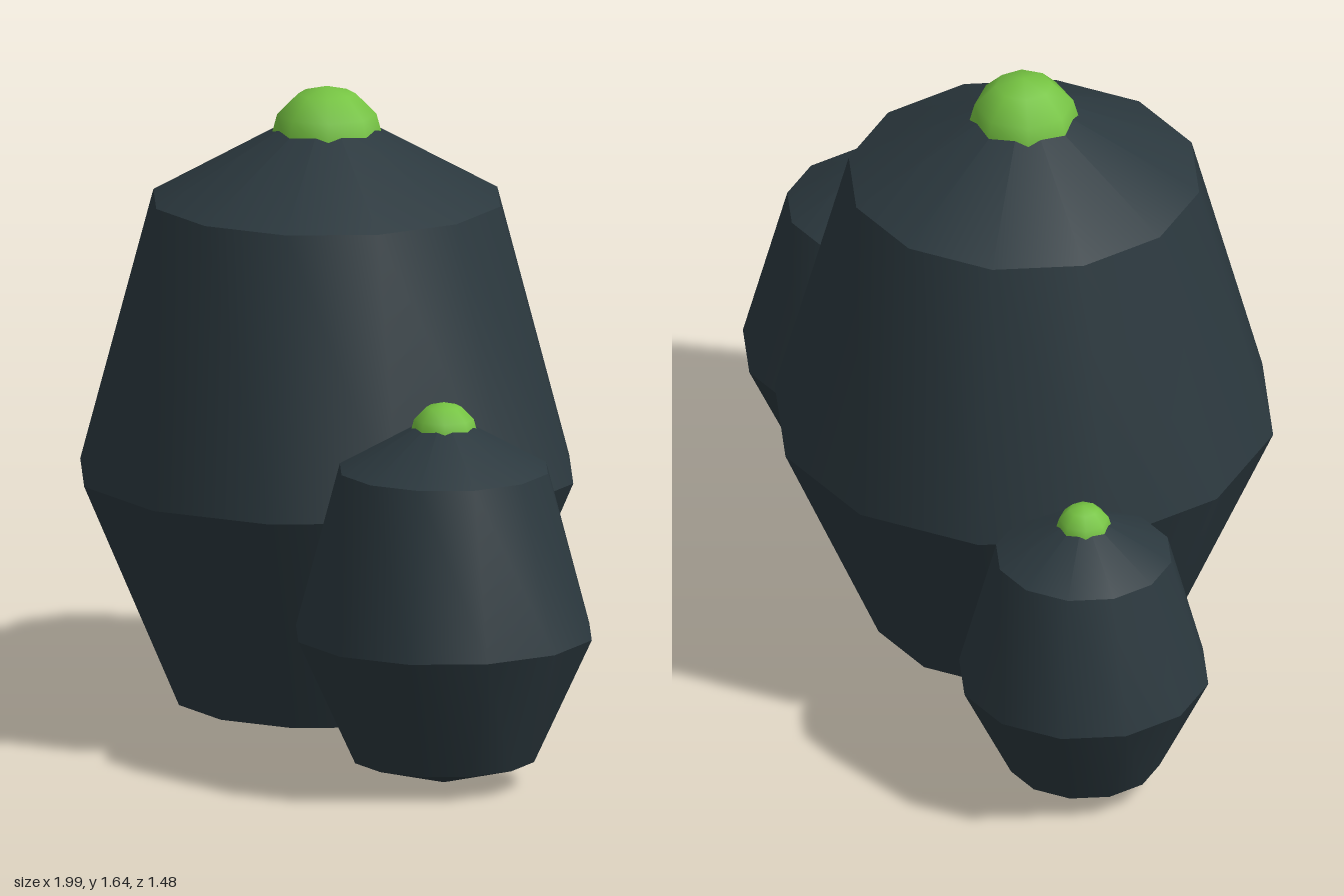
import * as THREE from 'three';
import { toCreasedNormals } from 'three/addons/utils/BufferGeometryUtils.js';

const shell = new THREE.MeshStandardMaterial({ color: 0x2b383e });
shell.name = 'dark slate';
const glow = new THREE.MeshStandardMaterial({ color: 0x76c442 });
glow.name = 'leaf green';

// One pod: a twelve-sided shell with creased rings and a low-poly bulb on top
function makePod({ name, x, z, profile, bulbY, bulbRadius }) {
  const pod = new THREE.Group();
  pod.name = name;
  pod.position.set(x, 0, z);

  const points = profile.map(([r, y]) => new THREE.Vector2(r, y));
  const body = new THREE.Mesh(toCreasedNormals(new THREE.LatheGeometry(points, 12), 0.6), shell);
  body.name = 'podShell';

  const bulb = new THREE.Mesh(new THREE.SphereGeometry(bulbRadius, 8, 6), glow);
  bulb.name = 'podBulb';
  bulb.position.y = bulbY;

  pod.add(body, bulb);
  return pod;
}

// Profiles run from the bottom tip to the top tip as [radius, height]
const pods = [
  {
    name: 'largePod', x: -0.1, z: 0.03, bulbY: 1.5, bulbRadius: 0.145,
    profile: [[0, 0.003], [0.39, 0.067], [0.64, 0.648], [0.45, 1.355], [0, 1.607]],
  },
  {
    name: 'mediumPod', x: 0.61, z: 0.353, bulbY: 0.9, bulbRadius: 0.087,
    profile: [[0, 0.003], [0.234, 0.067], [0.384, 0.39], [0.27, 0.815], [0, 0.966]],
  },
  {
    name: 'smallPod', x: -0.68, z: -0.42, bulbY: 0.75, bulbRadius: 0.073,
    profile: [[0, 0.003], [0.195, 0.067], [0.32, 0.325], [0.225, 0.68], [0, 0.805]],
  },
];

export function createModel() {
  const model = new THREE.Group();
  model.name = 'podCluster';
  for (const pod of pods) model.add(makePod(pod));
  return model;
}
